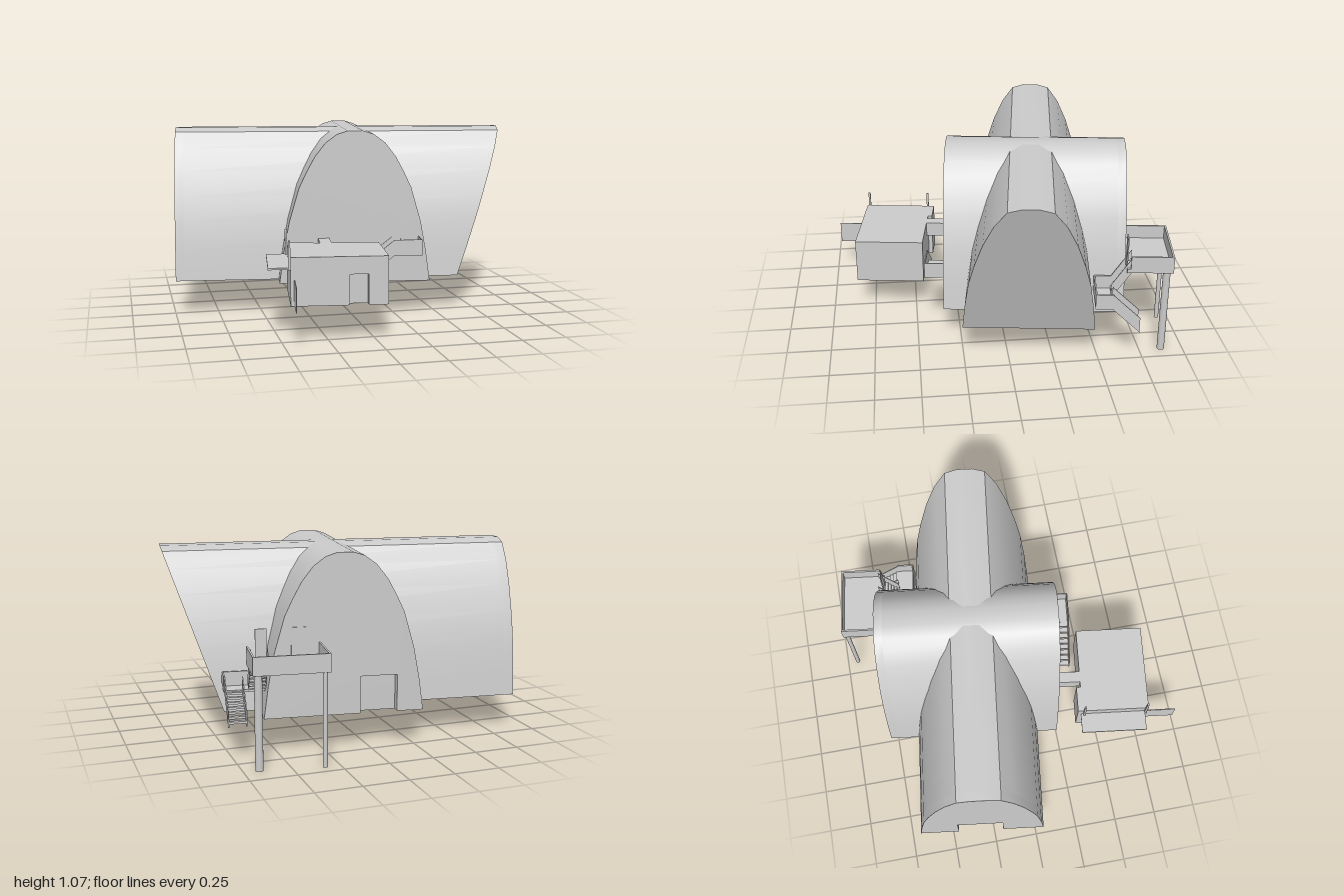
import * as THREE from 'three';
import { toCreasedNormals } from 'three/addons/utils/BufferGeometryUtils.js';

const material = new THREE.MeshStandardMaterial({ color: 0xcccccc, side: THREE.DoubleSide });
const GROUND = 0.2;

// Half profiles of the two vaults: [share of half width, share of height]
const MAIN = [[1, 0], [0.95, 0.2], [0.88, 0.4], [0.79, 0.55], [0.66, 0.72], [0.5, 0.87], [0.32, 0.975], [0.12, 1]];
const CROSS = [[1, 0], [0.945, 0.2], [0.87, 0.4], [0.74, 0.625], [0.64, 0.73], [0.53, 0.83], [0.39, 0.92], [0.24, 0.975], [0.1, 0.997]];

function add(parent, name, geometry) {
  const mesh = new THREE.Mesh(geometry, material);
  mesh.name = name;
  parent.add(mesh);
  return mesh;
}

// Box given by its limits on each axis
function box(parent, name, x0, x1, y0, y1, z0, z1) {
  const mesh = add(parent, name, new THREE.BoxGeometry(x1 - x0, y1 - y0, z1 - z0));
  mesh.position.set((x0 + x1) / 2, (y0 + y1) / 2, (z0 + z1) / 2);
  return mesh;
}

// Outline points with an optional doorway cut from the bottom edge
function outline(points, door) {
  const all = points.map(([x, y]) => new THREE.Vector2(x, y));
  if (door) {
    const { from, to, height } = door;
    all.push(...[[from, 0], [from, height], [to, height], [to, 0]].map(([x, y]) => new THREE.Vector2(x, y)));
  }
  return new THREE.Shape(all);
}

// Arched slab along +z, standing on y = 0
function archSlab(profile, half, height, depth, door) {
  const right = profile.map(([w, h]) => [w * half, h * height]);
  const left = right.map(([x, y]) => [-x, y]).reverse();
  return new THREE.ExtrudeGeometry(outline([...right, ...left], door), { depth, bevelEnabled: false });
}

// Flight of steps rising along +x with a parapet on both sides
function flight(parent, name, position, turn, length, rise, width, count) {
  const group = new THREE.Group();
  group.name = name;
  group.position.set(...position);
  group.rotation.y = turn;
  const step = length / count;
  for (let i = 0; i < count; i++) {
    const y = (rise * (i + 1)) / count;
    box(group, 'tread', i * step, (i + 1) * step, y - 0.012, y, 0, width);
  }
  const band = outline([[0, -0.01], [length, rise - 0.01], [length, rise + 0.08], [0, 0.08]]);
  for (const z of [0, width - 0.006]) {
    const side = add(group, 'stairParapet', new THREE.ExtrudeGeometry(band, { depth: 0.006, bevelEnabled: false }));
    side.position.z = z;
  }
  parent.add(group);
}

export function createModel() {
  const model = new THREE.Group();
  model.name = 'vaultedBuilding';
  const site = new THREE.Group();
  site.name = 'site';
  site.rotation.y = THREE.MathUtils.degToRad(-7.5);
  model.add(site);

  // Long vault, with a leaning end on the left
  const mainHeight = 0.87;
  const body = archSlab(MAIN, 0.368, mainHeight, 1.613);
  const p = body.attributes.position;
  for (let i = 0; i < p.count; i++) {
    if (p.getZ(i) > 1) p.setZ(i, p.getZ(i) + 0.3 * (p.getY(i) / mainHeight));
  }
  const mainVault = add(site, 'mainVault', toCreasedNormals(body, 0.6));
  mainVault.rotation.y = Math.PI / 2;
  mainVault.position.set(-0.935, GROUND, -0.198);
  const mainEnd = add(site, 'mainVaultDoorEnd', toCreasedNormals(
    archSlab(MAIN, 0.368, mainHeight, 0.05, { from: -0.125, to: 0.14, height: 0.205 }), 0.6));
  mainEnd.rotation.y = Math.PI / 2;
  mainEnd.position.set(-0.985, GROUND, -0.198);

  // Crossing vault
  const crossVault = add(site, 'crossVault', toCreasedNormals(archSlab(CROSS, 0.437, 0.877, 0.98), 0.6));
  crossVault.position.set(0.05, GROUND, -0.69);
  const crossEnd = add(site, 'crossVaultDoorEnd', toCreasedNormals(
    archSlab(CROSS, 0.437, 0.877, 0.047, { from: -0.29, to: -0.085, height: 0.205 }), 0.6));
  crossEnd.position.set(0.05, GROUND, -0.737);

  // Front annex with a recessed doorway
  box(site, 'annexBody', -0.35, 0.165, GROUND, 0.46, 0.435, 0.795);
  box(site, 'annexBackBay', -0.35, -0.2, GROUND, 0.46, 0.41, 0.436);
  const front = outline([[0.165, 0], [0.165, 0.26], [-0.35, 0.26], [-0.35, 0]], { from: -0.04, to: 0.06, height: 0.165 });
  const annexFront = add(site, 'annexFront', new THREE.ExtrudeGeometry(front, { depth: 0.04, bevelEnabled: false }));
  annexFront.position.set(0, GROUND, 0.795);
  box(site, 'annexCanopy', -0.467, -0.35, 0.392, 0.402, 0.43, 0.818);
  box(site, 'screenPanel', -0.332, -0.327, 0.21, 0.34, 0.83, 1.015);
  for (const z of [0.45, 0.82]) box(site, 'canopyPole', -0.362, -0.35, 0.39, 0.545, z - 0.006, z + 0.006);
  box(site, 'linkBridge', -0.165, -0.1, 0.375, 0.46, 0.285, 0.44);

  // Front stair, landing and door
  flight(site, 'frontStair', [0.03, GROUND, 0.29], 0, 0.23, 0.18, 0.11, 8);
  box(site, 'frontLanding', 0.26, 0.422, 0.37, 0.382, 0.285, 0.4);
  box(site, 'frontLandingParapet', 0.26, 0.422, 0.37, 0.462, 0.394, 0.4);
  box(site, 'frontLandingEnd', 0.416, 0.422, 0.37, 0.462, 0.288, 0.4);
  box(site, 'frontDoor', 0.315, 0.387, 0.382, 0.53, 0.288, 0.294);

  // Raised platform behind, on two posts
  box(site, 'platformDeck', 0.18, 0.578, 0.505, 0.525, -0.99, -0.735);
  box(site, 'platformBackParapet', 0.18, 0.578, 0.505, 0.603, -0.99, -0.98);
  box(site, 'platformRightParapet', 0.18, 0.19, 0.505, 0.603, -0.99, -0.735);
  box(site, 'platformLeftParapet', 0.568, 0.578, 0.505, 0.603, -0.99, -0.755);
  for (const [x, z, r] of [[0.208, -0.972, 0.013], [0.547, -0.956, 0.021]]) {
    const post = add(site, 'platformPost', new THREE.CylinderGeometry(r, r, 0.51, 16));
    post.position.set(x, 0.255, z);
  }
  box(site, 'platformDoor', 0.26, 0.34, 0.52, 0.69, -0.742, -0.735);
  box(site, 'stairHeadPanel', 0.47, 0.53, 0.52, 0.69, -0.742, -0.735);

  // Back stair in two flights with a landing between them
  flight(site, 'upperBackStair', [0.465, 0.34, -0.655], Math.PI / 2, 0.11, 0.17, 0.095, 7);
  flight(site, 'lowerBackStair', [0.685, GROUND, -0.81], -Math.PI / 2, 0.15, 0.14, 0.1, 7);
  box(site, 'backLanding', 0.465, 0.688, 0.335, 0.347, -0.662, -0.562);
  box(site, 'backLandingParapet', 0.465, 0.688, 0.335, 0.425, -0.57, -0.562);
  for (const x of [0.465, 0.68]) box(site, 'backLandingEnd', x, x + 0.008, 0.335, 0.425, -0.662, -0.562);

  return model;
}
